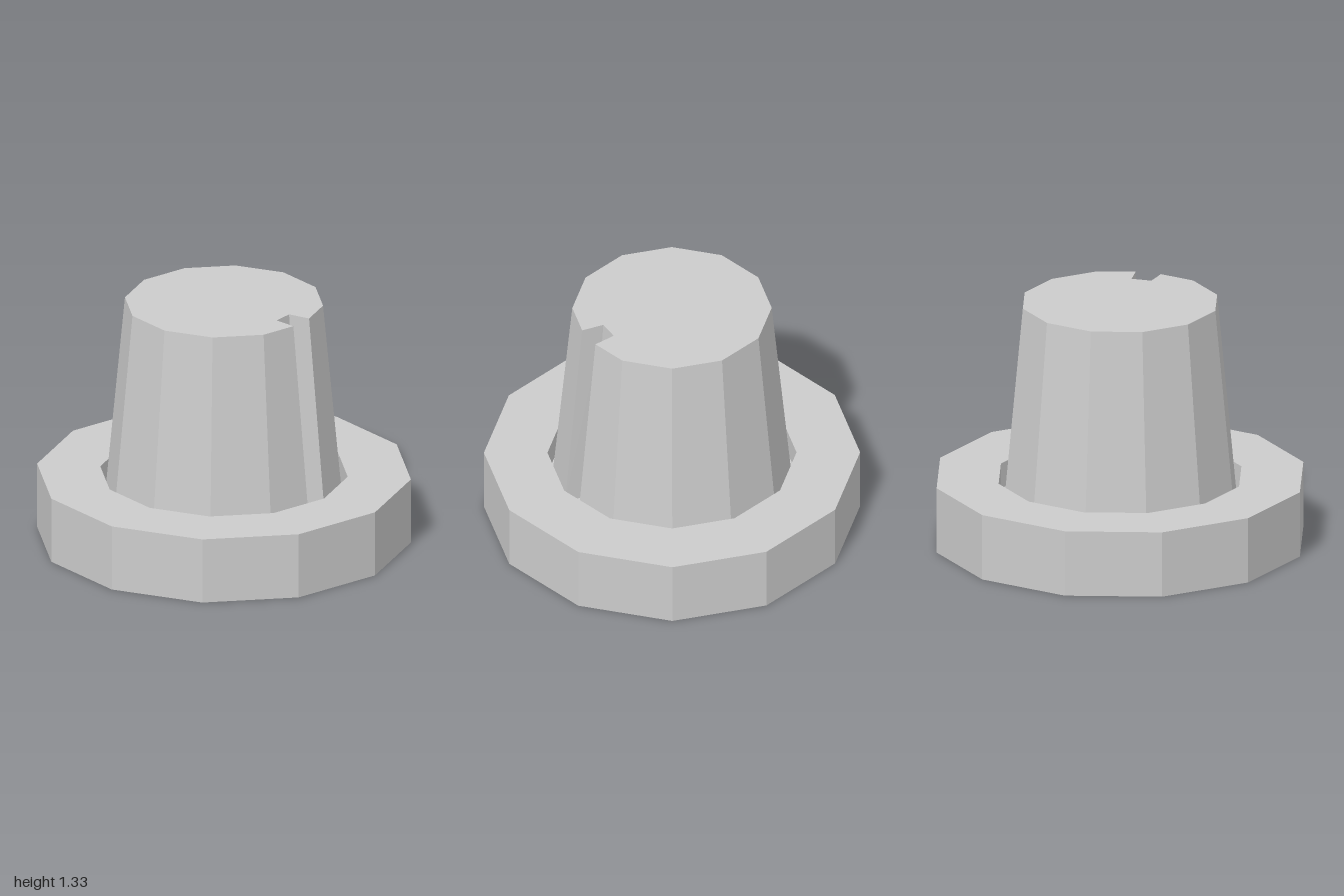
import * as THREE from 'three';

const SIDES = 12;
const FLOOR = 0.22, RIM = 0.36, TOP = 1.33;

// Plan outline of the stem at a given radius, counter-clockwise from above
// (Vector2 holds x and -z), with a flared keyway at the front corner.
function stemOutline(radius, keyDepth) {
  const edgeZ = radius - 0.07 * Math.tan(Math.PI / SIDES);
  const pts = [[0.055, keyDepth], [0.07, edgeZ]];
  for (let i = 1; i < SIDES; i++) {
    const a = (i / SIDES) * Math.PI * 2;
    pts.push([radius * Math.sin(a), radius * Math.cos(a)]);
  }
  pts.push([-0.07, edgeZ], [-0.055, keyDepth]);
  return pts.map(([x, z]) => new THREE.Vector2(x, -z));
}

// Tapered walls between two outlines, closed with a flat top
function stemGeometry() {
  const low = stemOutline(0.635, 0.47);
  const high = stemOutline(0.53, 0.39);
  const n = low.length;
  const positions = [], index = [];
  for (const [ring, y] of [[low, FLOOR], [high, TOP]]) {
    for (const p of ring) positions.push(p.x, y, -p.y);
  }
  for (let i = 0; i < n; i++) {
    const j = (i + 1) % n;
    index.push(i, j, n + j, i, n + j, n + i);
  }
  for (const f of THREE.ShapeUtils.triangulateShape(high, [])) {
    index.push(...f.map((k) => n + k));
  }
  const indexed = new THREE.BufferGeometry();
  indexed.setAttribute('position', new THREE.Float32BufferAttribute(positions, 3));
  indexed.setIndex(index);
  const geometry = indexed.toNonIndexed();
  geometry.computeVertexNormals();
  return geometry;
}

export function createModel() {
  const group = new THREE.Group();
  const material = new THREE.MeshStandardMaterial({
    color: 0xcccccc, flatShading: true, side: THREE.DoubleSide,
  });

  // Open-bottomed base shell: outer wall, flat rim and a sunken floor
  const profile = [[1, 0], [1, RIM], [0.662, RIM], [0.662, FLOOR], [0, FLOOR]]
    .map(([r, y]) => new THREE.Vector2(r, y));
  const base = new THREE.Mesh(new THREE.LatheGeometry(profile, SIDES), material);
  base.name = 'baseRing';
  group.add(base);

  // Tapered stem with keyway, standing on the sunken floor
  const stem = new THREE.Mesh(stemGeometry(), material);
  stem.name = 'taperedStem';
  group.add(stem);

  return group;
}
